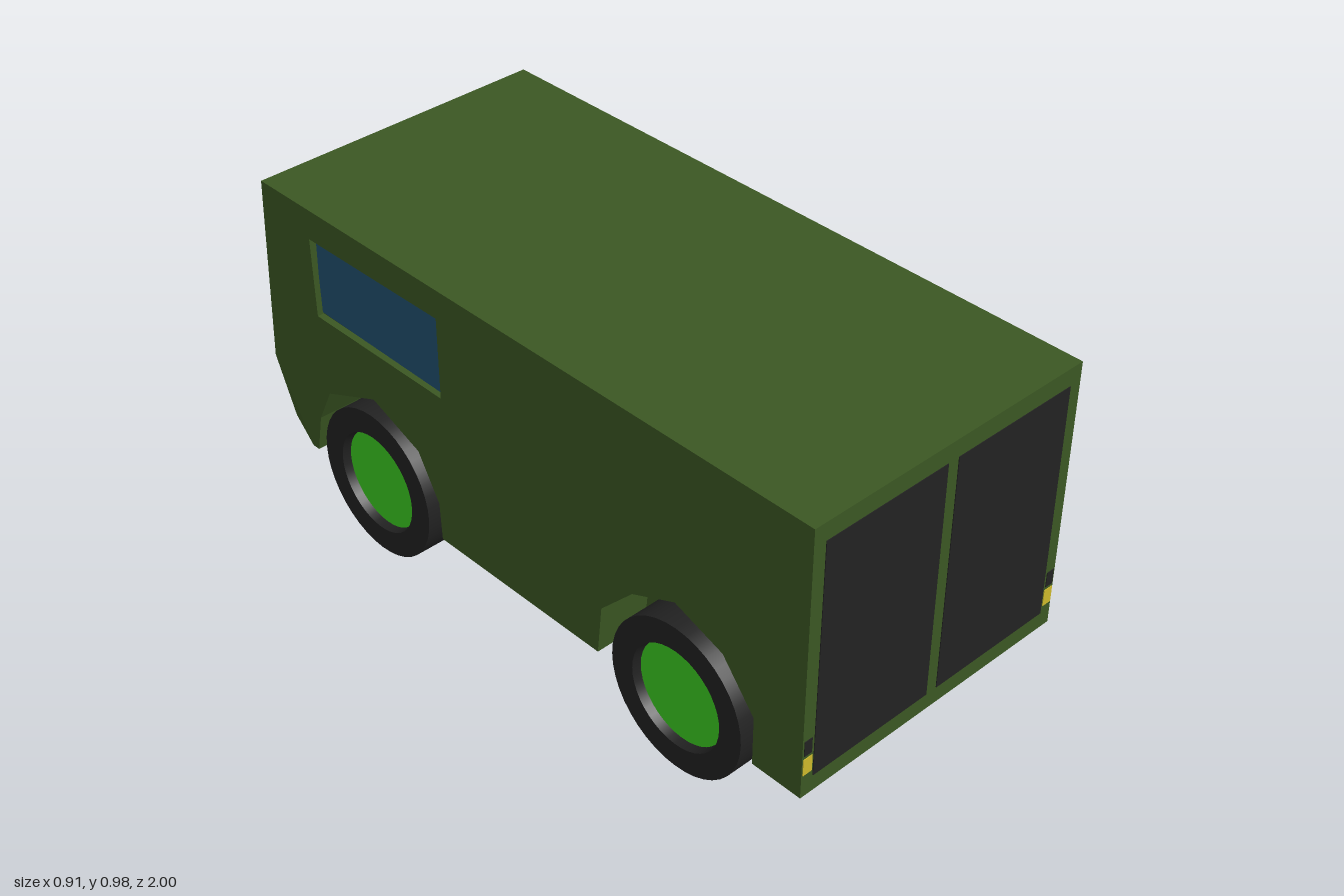
import * as THREE from 'three';

const mat = (name, color) => Object.assign(new THREE.MeshStandardMaterial({ color }), { name });

export function createModel() {
  const green = mat('body green', 0x3b5723);
  const black = mat('black', 0x222222);
  const glass = mat('window glass', 0x22506f);
  const rimGreen = mat('bright rim green', 0x3ccc22);
  const yellow = mat('indicator yellow', 0xcdb92c);
  const lampBlue = mat('lamp blue', 0x5f90d0);
  const van = new THREE.Group();
  van.name = 'van';

  const add = (name, geo, material) => {
    const m = new THREE.Mesh(geo, material);
    m.name = name;
    van.add(m);
    return m;
  };
  // Points are [z, y]; the extruded slab runs from x0 to x1
  const toShape = pts => new THREE.Shape(pts.map(([z, y]) => new THREE.Vector2(-z, y)));
  const slab = (name, shape, x0, x1) => {
    const geo = new THREE.ExtrudeGeometry(shape, { depth: x1 - x0, bevelEnabled: false });
    geo.rotateY(Math.PI / 2).translate(x0, 0, 0);
    return add(name, geo, green);
  };

  // Body: solid core, side layers with wheel arches, skin with window holes
  const W = 0.45, NOSE = -0.86, BASE = 0.185, TOP = 0.98;
  const corners = [[NOSE, BASE], [NOSE, TOP], [1, TOP], [1, BASE]];
  const rearArch = [[0.845, BASE], [0.845, 0.33], [0.74, 0.46], [0.58, 0.515],
    [0.435, 0.45], [0.325, 0.335], [0.31, BASE]];
  const frontArch = [[-0.295, BASE], [-0.3, 0.3], [-0.375, 0.43], [-0.555, 0.5],
    [-0.755, 0.415], [-0.81, 0.305], [-0.835, BASE]];
  const archedSide = [...corners, ...rearArch, ...frontArch];
  const windowPts = [[-0.265, 0.655], [-0.265, 0.895], [-0.78, 0.89], [-0.775, 0.655]];

  slab('bodyCore', toShape(corners), -0.29, 0.29);
  for (const s of [-1, 1]) {
    const side = s > 0 ? 'left' : 'right';
    const span = (a, b) => (s > 0 ? [a, b] : [-b, -a]);
    slab(side + 'BodySide', toShape(archedSide), ...span(0.29, 0.43));
    const skin = toShape(archedSide);
    skin.holes.push(new THREE.Path(windowPts.map(([z, y]) => new THREE.Vector2(-z, y))));
    slab(side + 'BodySkin', skin, ...span(0.43, W));

    // Recessed side window
    const pane = new THREE.ShapeGeometry(toShape(windowPts));
    pane.rotateY(Math.PI / 2);
    if (s < 0) pane.rotateZ(Math.PI).scale(1, 1, 1).translate(0, 2 * 0.775, 0);
    pane.translate(s * 0.433, 0, 0);
    add(side + 'SideWindow', pane, glass);
  }

  // Cab nose lofted through three levels, tapering in at the bottom
  const levels = [
    { y: 0.185, yf: 0.2, xf: 0.41, zf: -0.99 },
    { y: 0.42, yf: 0.42, xf: W, zf: -1 },
    { y: TOP, yf: TOP, xf: W, zf: -0.975 },
  ];
  const rings = levels.map(l => [[-W, l.y, NOSE], [-l.xf, l.yf, l.zf], [l.xf, l.yf, l.zf], [W, l.y, NOSE]]);
  const verts = [];
  const quad = (a, b, c, d) => verts.push(...a, ...b, ...c, ...a, ...c, ...d);
  for (let r = 0; r < 2; r++) {
    for (let i = 0; i < 3; i++) quad(rings[r][i], rings[r + 1][i], rings[r + 1][i + 1], rings[r][i + 1]);
  }
  quad(...rings[0]);
  quad(...rings[2].slice().reverse());
  const nose = new THREE.BufferGeometry();
  nose.setAttribute('position', new THREE.Float32BufferAttribute(verts, 3));
  nose.computeVertexNormals();
  add('cabNose', nose, green);

  // Painted faces laid on the sloping cab front; points are [x, y]
  const frontZ = y => (y > 0.42 ? -1 + 0.025 * (y - 0.42) / 0.56 : -1 + 0.01 * (0.42 - y) / 0.22);
  const frontPlate = (name, pts, material) => {
    const geo = new THREE.ShapeGeometry(new THREE.Shape(pts.map(([x, y]) => new THREE.Vector2(-x, y))));
    geo.rotateY(Math.PI);
    const p = geo.attributes.position;
    for (let i = 0; i < p.count; i++) p.setZ(i, frontZ(p.getY(i)) - 0.003);
    geo.computeVertexNormals();
    add(name, geo, material);
  };
  const rect = (x0, x1, y0, y1) => [[x0, y0], [x1, y0], [x1, y1], [x0, y1]];
  frontPlate('windscreen', rect(-0.44, 0.44, 0.54, 0.965), glass);
  frontPlate('upperGrille', rect(-0.27, 0.27, 0.445, 0.51), black);
  frontPlate('lowerGrille', rect(-0.27, 0.27, 0.215, 0.275), black);
  for (const s of [-1, 1]) {
    const mirror = pts => pts.map(([x, y]) => [s * x, y]);
    frontPlate('headlamp', mirror(rect(0.3, 0.44, 0.44, 0.515)), lampBlue);
    frontPlate('fogLamp', mirror([[0.3, 0.24], [0.385, 0.225], [0.408, 0.24], [0.422, 0.31], [0.31, 0.31]]), lampBlue);
    frontPlate('frontIndicator', mirror([[0.405, 0.345], [0.436, 0.345], [0.447, 0.41], [0.405, 0.41]]), yellow);

    // Cargo doors and tail lamps at the other end
    const plate = (name, x0, x1, y0, y1, material) => {
      const m = add(name, new THREE.BoxGeometry(x1 - x0, y1 - y0, 0.004), material);
      m.position.set(s * (x0 + x1) / 2, (y0 + y1) / 2, 1);
    };
    plate('cargoDoorPanel', 0.018, 0.412, 0.235, 0.928, black);
    plate('tailIndicator', 0.417, 0.447, 0.255, 0.305, yellow);
    plate('tailLamp', 0.42, 0.445, 0.315, 0.36, black);
  }

  // Wheels: turned tyre with a recessed bright disc
  const R = 0.222;
  const tyreProfile = [[0, -0.145], [R, -0.145], [R, -0.145], [R, 0], [R, 0], [0.15, 0],
    [0.15, 0], [0.145, -0.025]].map(([r, h]) => new THREE.Vector2(r, h));
  for (const s of [-1, 1]) {
    for (const [end, z] of [['front', -0.565], ['rear', 0.59]]) {
      const wheel = new THREE.Group();
      wheel.name = end + (s > 0 ? 'Left' : 'Right') + 'Wheel';
      const tyre = new THREE.Mesh(new THREE.LatheGeometry(tyreProfile, 40), black);
      tyre.name = 'tyre';
      const disc = new THREE.Mesh(new THREE.CircleGeometry(0.147, 40), rimGreen);
      disc.name = 'rimDisc';
      disc.rotation.x = -Math.PI / 2;
      disc.position.y = -0.024;
      wheel.add(tyre, disc);
      wheel.rotation.z = -s * Math.PI / 2;
      wheel.position.set(s * 0.455, R, z);
      van.add(wheel);
    }
  }
  return van;
}
